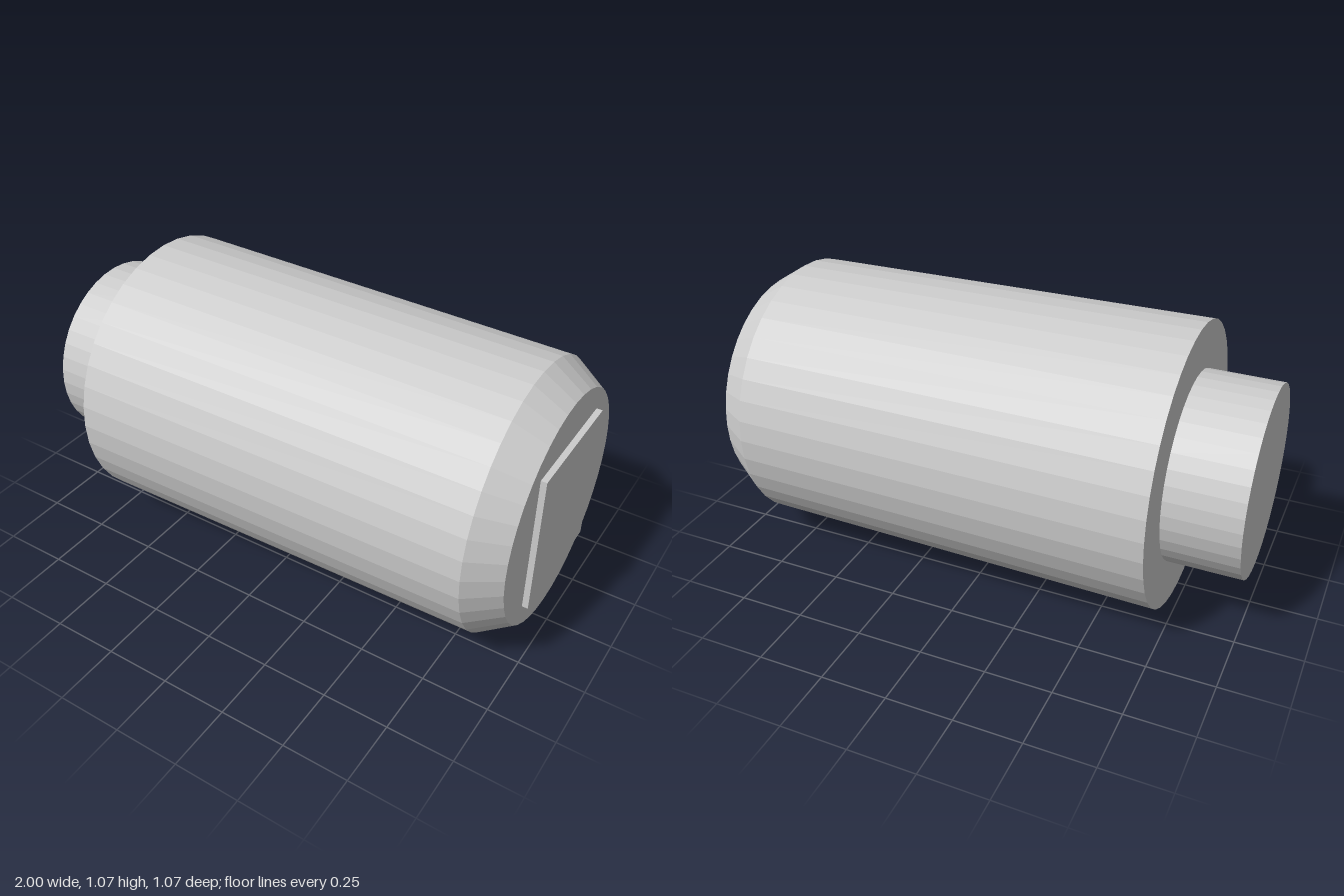
import * as THREE from 'three';

const CENTRE_Y = 0.533;
const SIDES = 40;

export function createModel() {
  const group = new THREE.Group();
  group.name = 'steppedPlug';
  const grey = new THREE.MeshStandardMaterial({ color: 0xcccccc, flatShading: true });
  grey.name = 'light grey';

  // Faceted solid turned around the x axis from [x, radius] pairs
  const turned = (name, profile) => {
    const points = profile.map(([x, r]) => new THREE.Vector2(r, x));
    const geometry = new THREE.LatheGeometry(points, SIDES).rotateZ(-Math.PI / 2);
    const mesh = new THREE.Mesh(geometry, grey);
    mesh.name = name;
    mesh.position.y = CENTRE_Y;
    group.add(mesh);
  };

  // Narrow neck at the right end
  turned('neck', [[-1, 0], [-1, 0.355], [-0.72, 0.355]]);

  // Slightly tapered barrel with a bevelled left end
  turned('barrel', [[-0.72, 0], [-0.72, 0.533], [0.857, 0.514], [0.978, 0.435], [0.978, 0]]);

  // Raised rectangular plate on the left end
  const plate = new THREE.Mesh(new THREE.BoxGeometry(0.04, 0.553, 0.473), grey);
  plate.name = 'endPlate';
  plate.position.set(0.98, CENTRE_Y, 0);
  group.add(plate);

  return group;
}
